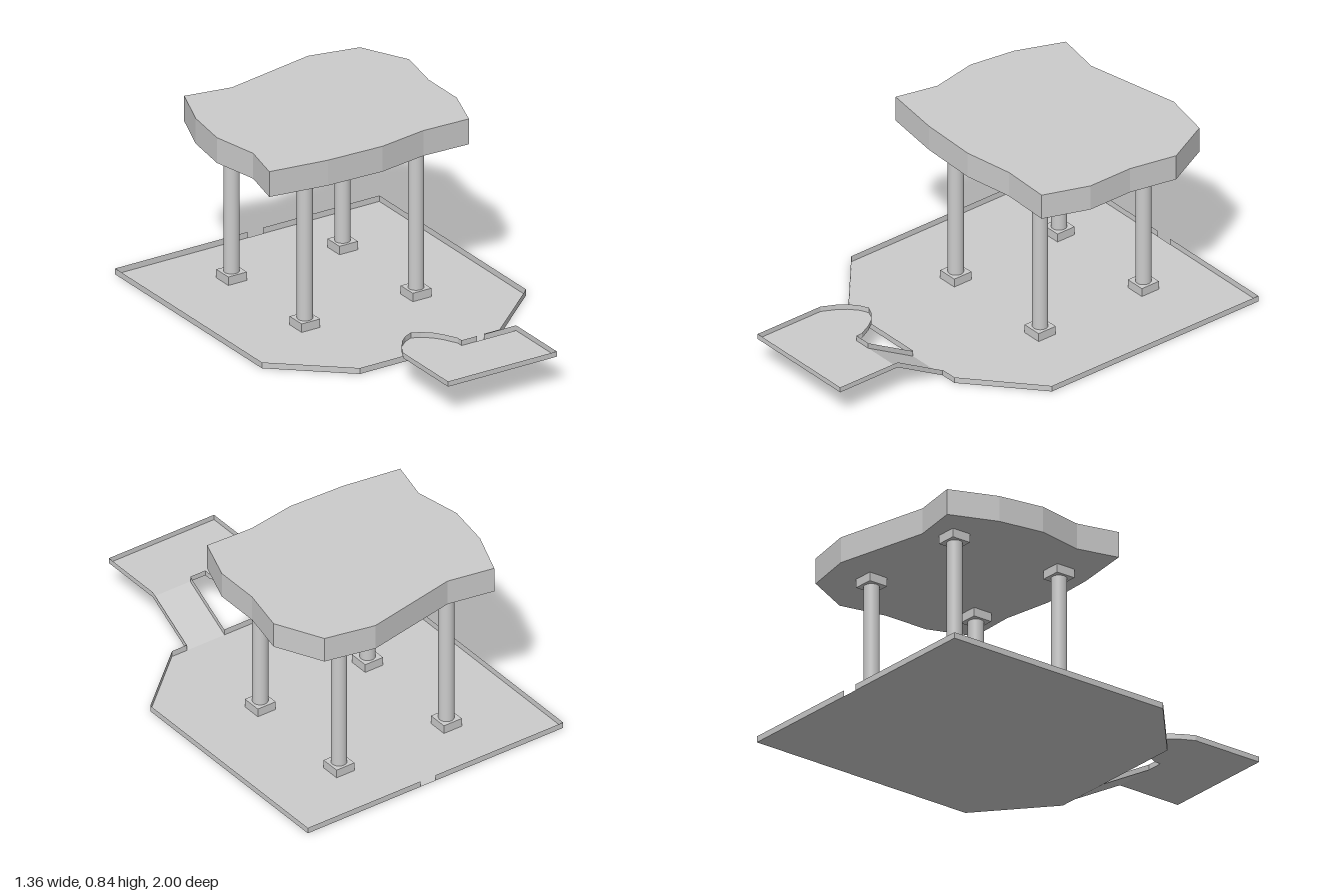
import * as THREE from 'three';

const solid = new THREE.MeshStandardMaterial({ color: 0xcccccc });
const sheet = new THREE.MeshStandardMaterial({ color: 0xcccccc, side: THREE.DoubleSide });
const flat = new THREE.MeshStandardMaterial({ color: 0xcccccc, flatShading: true });

function add(parent, name, geometry, material, x = 0, y = 0, z = 0) {
  const mesh = new THREE.Mesh(geometry, material);
  mesh.name = name;
  mesh.position.set(x, y, z);
  parent.add(mesh);
  return mesh;
}

// Plan outline given as [x, z]; the shape uses -z so that it can be laid flat
const planShape = (pts) => new THREE.Shape(pts.map(([x, z]) => new THREE.Vector2(x, -z)));

const floorGeometry = (pts) => new THREE.ShapeGeometry(planShape(pts)).rotateX(-Math.PI / 2);

// Thin upright curb following a path of [x, y, z] points
function curbGeometry(path, height) {
  const pos = [];
  for (let i = 0; i < path.length - 1; i++) {
    const [a, b] = [path[i], path[i + 1]];
    const up = ([x, y, z]) => [x, y + height, z];
    pos.push(...a, ...b, ...up(b), ...a, ...up(b), ...up(a));
  }
  const g = new THREE.BufferGeometry();
  g.setAttribute('position', new THREE.Float32BufferAttribute(pos, 3));
  g.computeVertexNormals();
  return g;
}

const atHeight = (pts, y) => pts.map(([x, z]) => [x, y, z]);

export function createModel() {
  const model = new THREE.Group();
  model.name = 'pavilion';
  const rampL = 0.28, rampR = 0.08, curb = 0.028, landingY = 0.14;

  // Main floor with a curb, open at the ramp and at a small gap in the back
  const base = [[-0.68, -1], [0.68, -1], [0.68, 0.15], [0.36, 0.43], [-0.36, 0.43], [-0.68, 0.15]];
  add(model, 'mainFloor', floorGeometry(base), sheet);
  const curbLeft = [[0.08, -1], [0.68, -1], [0.68, 0.15], [0.36, 0.43], [rampL, 0.43]];
  const curbRight = [[rampR, 0.43], [-0.36, 0.43], [-0.68, 0.15], [-0.68, -1], [0, -1]];
  add(model, 'mainCurbLeft', curbGeometry(atHeight(curbLeft, 0), curb), sheet);
  add(model, 'mainCurbRight', curbGeometry(atHeight(curbRight, 0), curb), sheet);

  // Raised landing with a rounded bay, curb open at the ramp
  const landing = [
    [rampL, 0.68], [rampL, 1], [-0.28, 1], [-0.28, 0.65], [-0.25, 0.59], [-0.22, 0.548], [-0.18, 0.513],
    [-0.14, 0.495], [-0.1, 0.513], [-0.06, 0.548], [-0.03, 0.59], [0, 0.65], [0, 0.68], [rampR, 0.68],
  ];
  add(model, 'landingFloor', floorGeometry(landing), sheet, 0, landingY);
  add(model, 'landingCurb', curbGeometry(atHeight(landing, landingY), 0.025), sheet);

  // Ramp: a sloping sheet with a curb along each side
  const run = 0.25;
  const ramp = new THREE.PlaneGeometry(rampL - rampR, Math.hypot(run, landingY));
  ramp.rotateX(-Math.PI / 2).rotateX(-Math.atan2(landingY, run));
  add(model, 'ramp', ramp, sheet, (rampL + rampR) / 2, landingY / 2, 0.43 + run / 2);
  for (const [x, side] of [[rampL, 'Left'], [rampR, 'Right']]) {
    add(model, 'rampCurb' + side, curbGeometry([[x, 0, 0.43], [x, landingY, 0.68]], 0.025), sheet);
  }

  // Four columns with square bases and caps
  const block = new THREE.BoxGeometry(0.095, 0.04, 0.095);
  const shaft = new THREE.CylinderGeometry(0.035, 0.035, 0.645, 32);
  for (const x of [-0.288, 0.284]) {
    for (const z of [-0.11, -0.685]) {
      const column = new THREE.Group();
      column.name = (z > -0.3 ? 'front' : 'back') + (x > 0 ? 'Left' : 'Right') + 'Column';
      column.position.set(x, 0, z);
      add(column, 'columnBase', block, solid, 0, 0.02);
      add(column, 'columnShaft', shaft, solid, 0, 0.3625);
      add(column, 'columnCap', block, solid, 0, 0.705);
      model.add(column);
    }
  }

  // Irregular roof slab
  const roof = [
    [-0.43, -0.84], [-0.21, -0.8], [0.24, -0.89], [0.475, -0.84], [0.585, -0.62], [0.54, -0.4], [0.54, -0.18],
    [0.465, 0.03], [0.235, 0.022], [0, 0.06], [-0.275, 0.05], [-0.55, 0.01], [-0.505, -0.185],
    [-0.547, -0.405], [-0.515, -0.62],
  ];
  const slab = new THREE.ExtrudeGeometry(planShape(roof), { depth: 0.12, bevelEnabled: false });
  add(model, 'roofSlab', slab.rotateX(-Math.PI / 2), flat, 0, 0.725);

  return model;
}
